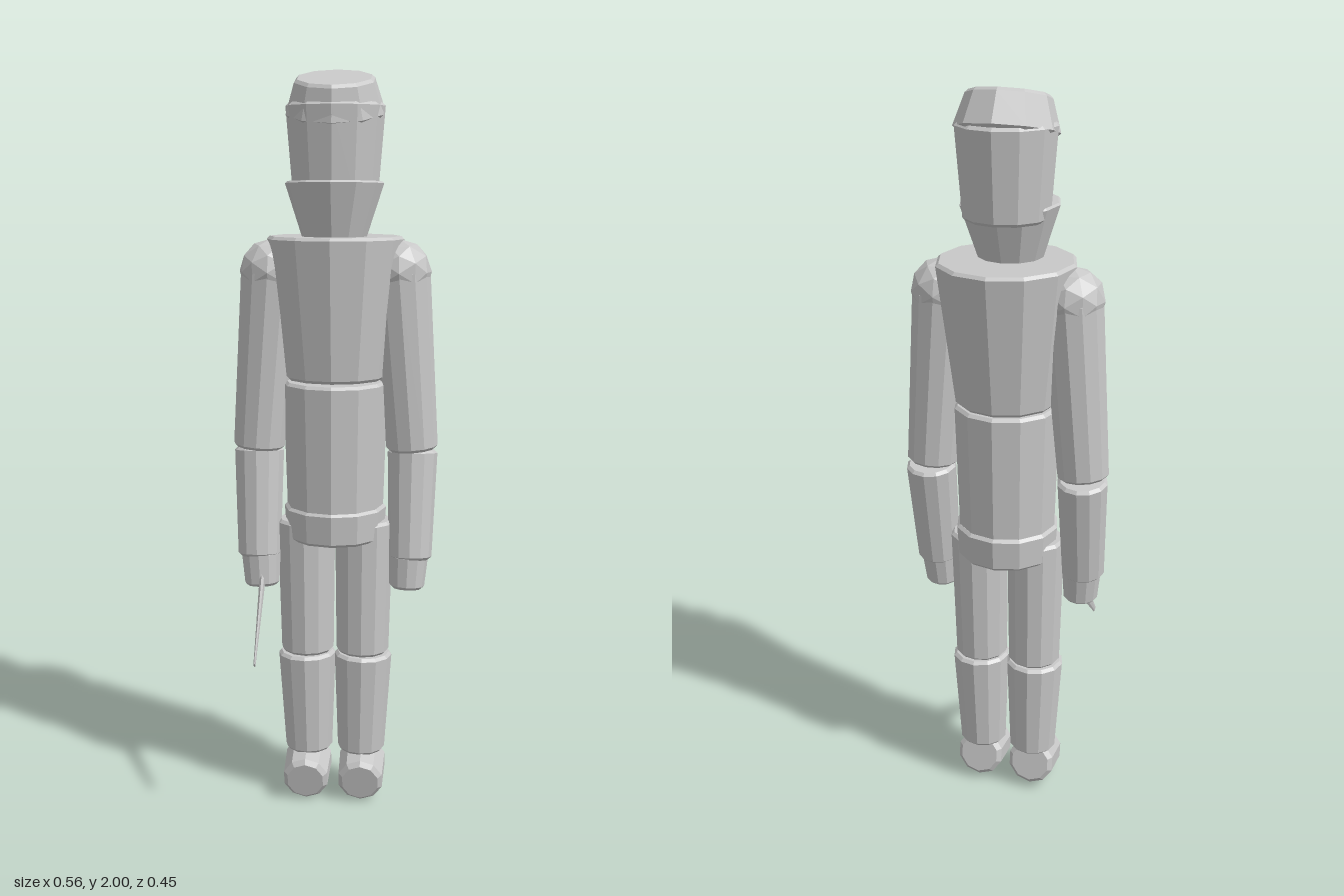
import * as THREE from 'three';

const grey = new THREE.MeshStandardMaterial({ color: 0xc8c8c8 });
grey.name = 'plain grey';

// Faceted mesh: unshared vertices give flat normals
function part(name, geometry) {
  const g = geometry.index ? geometry.toNonIndexed() : geometry;
  g.computeVertexNormals();
  const mesh = new THREE.Mesh(g, grey);
  mesh.name = name;
  return mesh;
}

// Closed tapered drum with small bevels, running from point a to point b
function drum(name, a, b, ra, rb, sides = 12, bevel = 0.008) {
  const from = new THREE.Vector3(...a);
  const axis = new THREE.Vector3(...b).sub(from);
  const h = axis.length();
  const profile = [
    [0, 0], [ra - bevel, 0], [ra, bevel],
    [rb, h - bevel], [rb - bevel, h], [0, h],
  ].map(([r, y]) => new THREE.Vector2(r, y));
  const mesh = part(name, new THREE.LatheGeometry(profile, sides));
  mesh.position.copy(from);
  mesh.quaternion.setFromUnitVectors(new THREE.Vector3(0, 1, 0), axis.normalize());
  return mesh;
}

export function createModel() {
  const model = new THREE.Group();
  model.name = 'jointedFigure';

  // Torso, neck and head
  model.add(
    drum('chest', [0, 1.19, -0.035], [0, 1.57, -0.04], 0.138, 0.183),
    drum('waist', [0, 0.8, -0.034], [0, 1.185, -0.034], 0.131, 0.142),
    drum('belt', [0, 0.748, -0.035], [0, 0.842, -0.035], 0.135, 0.14),
    drum('neck', [0, 1.56, 0], [0, 1.712, -0.006], 0.084, 0.13, 12, 0.005),
    drum('head', [0, 1.672, -0.037], [0, 1.912, -0.037], 0.113, 0.131),
    drum('cap', [0, 1.882, -0.038], [0, 1.975, -0.014], 0.133, 0.108, 10),
  );

  for (const s of [-1, 1]) {
    const side = s < 0 ? 'right' : 'left';

    // Arm
    const shoulder = part(side + 'Shoulder', new THREE.IcosahedronGeometry(0.085, 1));
    shoulder.position.set(s * 0.172, 1.477, -0.035);
    model.add(
      shoulder,
      drum(side + 'UpperArm', [s * 0.21, 0.997, -0.037], [s * 0.172, 1.48, -0.035], 0.07, 0.081),
      drum(side + 'Forearm', [s * 0.208, 0.695, -0.006], [s * 0.211, 0.993, -0.05], 0.059, 0.068),
      drum(side + 'Hand', [s * 0.2, 0.614, 0.002], [s * 0.204, 0.71, -0.007], 0.048, 0.054),
    );

    // Leg
    model.add(
      drum(side + 'Thigh', [s * 0.077, 0.418, -0.03], [s * 0.08, 0.8, -0.032], 0.073, 0.08),
      drum(side + 'Shin', [s * 0.074, 0.125, -0.03], [s * 0.079, 0.416, -0.03], 0.066, 0.08),
      drum(side + 'Foot', [s * 0.077, 0.082, -0.068], [s * 0.077, 0.057, 0.061], 0.067, 0.064, 10, 0.012),
    );
  }

  // Slim flattened blade held in the right hand
  const blade = drum('blade', [-0.197, 0.66, 0.0], [-0.194, 0.457, 0.219], 0.031, 0.01, 8, 0.002);
  blade.geometry.scale(0.3, 1, 1);
  blade.geometry.computeVertexNormals();
  model.add(blade);

  return model;
}
